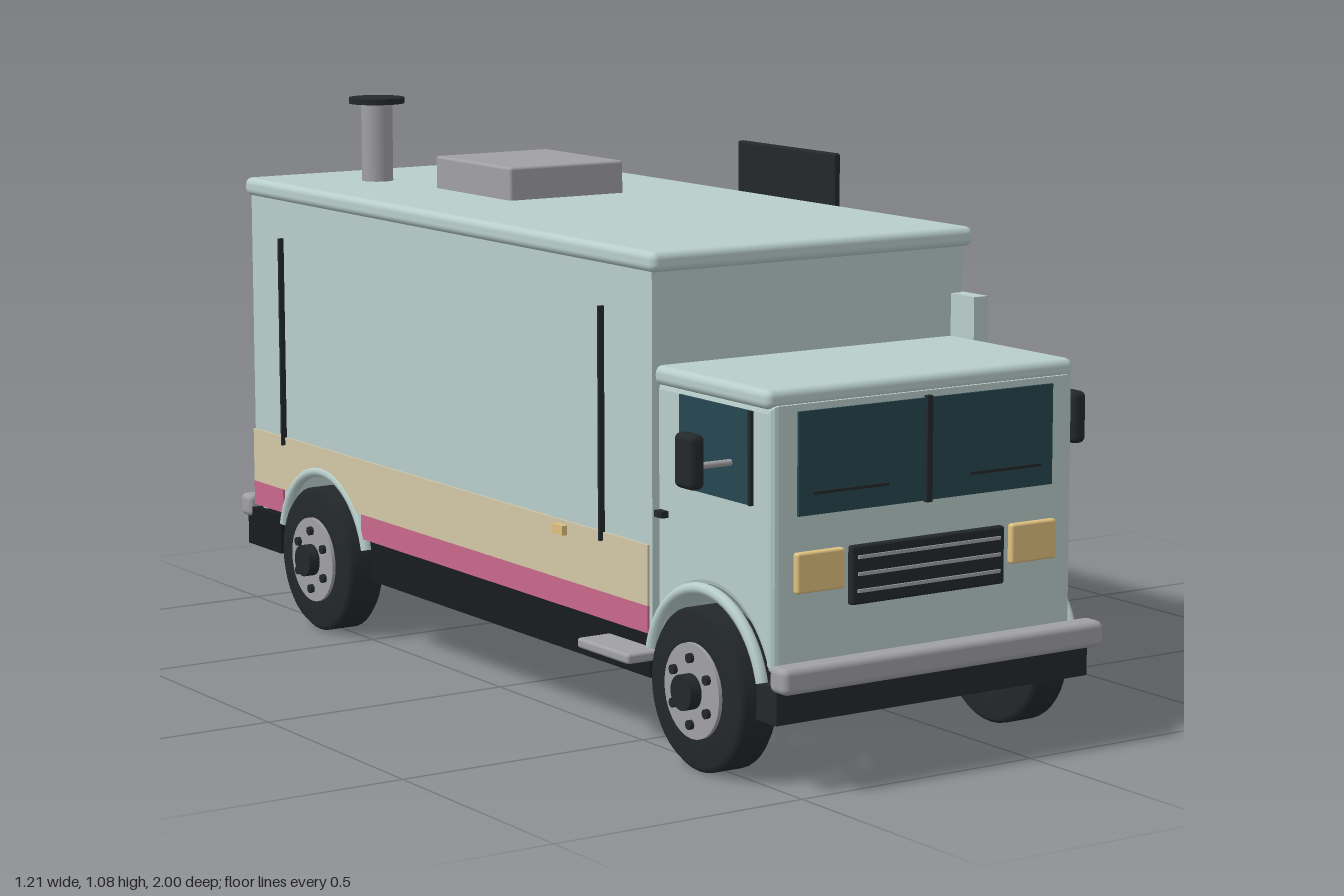
import * as THREE from 'three';
import { RoundedBoxGeometry } from 'three/addons/geometries/RoundedBoxGeometry.js';

const mat = (color) => new THREE.MeshStandardMaterial({ color });
const M = {
  body: mat(0xb8cecb), tan: mat(0xd3c8a8), pink: mat(0xc9688a), dark: mat(0x23282a), under: mat(0x191c1e),
  green: mat(0x2a3a35), glass: mat(0x264650), grey: mat(0xa0a0a5), lamp: mat(0xdfc07f),
};
const CX = -0.185; // centre line of the truck
const AXLE_Y = 0.147, FRONT_Z = 0.745, REAR_Z = -0.645, ARCH = 0.178;

export function createModel() {
  const root = new THREE.Group();

  const add = (name, geo, m, x = 0, y = 0, z = 0) => {
    const mesh = new THREE.Mesh(geo, m);
    mesh.name = name;
    mesh.position.set(x, y, z);
    root.add(mesh);
    return mesh;
  };
  // box from its limits, with an optional rounded edge
  const box = (name, m, x0, x1, y0, y1, z0, z1, r = 0) => {
    const s = [x1 - x0, y1 - y0, z1 - z0];
    const geo = r ? new RoundedBoxGeometry(...s, 3, r) : new THREE.BoxGeometry(...s);
    return add(name, geo, m, (x0 + x1) / 2, (y0 + y1) / 2, (z0 + z1) / 2);
  };
  // box given by distances from the centre line, on side s
  const sideBox = (name, m, s, d0, d1, ...rest) =>
    box(name, m, CX + Math.min(s * d0, s * d1), CX + Math.max(s * d0, s * d1), ...rest);
  const rod = (name, m, r, len, axis, x, y, z, seg = 24) => {
    const geo = new THREE.CylinderGeometry(r, r, len, seg);
    if (axis === 'x') geo.rotateZ(Math.PI / 2);
    return add(name, geo, m, x, y, z);
  };
  // side outline in (z, y) with a wheel arch cut from its lower edge
  const archShape = (z0, z1, y0, y1, c) => {
    const a = Math.asin((y0 - AXLE_Y) / ARCH);
    const s = new THREE.Shape();
    s.moveTo(z0, y0);
    s.lineTo(c - ARCH * Math.cos(a), y0);
    s.absarc(c, AXLE_Y, ARCH, Math.PI - a, a, true);
    s.lineTo(z1, y0);
    s.lineTo(z1, y1);
    s.lineTo(z0, y1);
    return s;
  };
  const hole = (shape, z0, z1, y0, y1) => shape.holes.push(new THREE.Path([
    new THREE.Vector2(z0, y0), new THREE.Vector2(z0, y1), new THREE.Vector2(z1, y1), new THREE.Vector2(z1, y0)]));
  // extrude a (z, y) outline towards -x from xOuter
  const slab = (name, m, shape, xOuter, depth, bevel = 0) => {
    const geo = new THREE.ExtrudeGeometry(shape, {
      depth: depth - 2 * bevel, curveSegments: 24, bevelEnabled: bevel > 0,
      bevelSize: bevel, bevelThickness: bevel, bevelOffset: -bevel, bevelSegments: 3 });
    geo.rotateY(-Math.PI / 2);
    return add(name, geo, m, xOuter - bevel, 0, 0);
  };

  // hollow kitchen body
  const serving = archShape(-0.935, 0.58, 0.22, 0.88, REAR_Z);
  hole(serving, -0.52, 0.345, 0.49, 0.78);
  hole(serving, -0.92, -0.83, 0.49, 0.78);
  slab('servingWall', M.body, serving, 0.16, 0.015);
  slab('farWall', M.body, archShape(-0.935, 0.58, 0.22, 0.88, REAR_Z), -0.515, 0.015);
  box('frontWall', M.body, -0.515, 0.145, 0.3, 0.88, 0.565, 0.58);
  box('rearWall', M.body, -0.515, 0.145, 0.2, 0.88, -0.935, -0.92);
  box('floor', M.body, -0.515, 0.145, 0.325, 0.34, -0.92, 0.565);
  box('bodyRoof', M.body, -0.545, 0.17, 0.868, 0.905, -0.94, 0.605, 0.014);
  box('hatchPanel', M.body, 0.135, 0.168, 0.46, 0.78, 0.42, 0.65);

  // kitchen interior
  box('interiorPanel', M.grey, -0.514, -0.505, 0.34, 0.86, -0.8, 0.55);
  box('innerCounter', M.grey, -0.3, 0.145, 0.465, 0.485, -0.55, 0.4);
  for (let i = 0; i < 5; i++)
    box('tray', M.grey, -0.12, 0.02, 0.485, 0.505, -0.44 + i * 0.115, -0.355 + i * 0.115, 0.006);

  // serving shelf, bottles and awning
  box('servingShelf', M.grey, 0.155, 0.32, 0.473, 0.489, -0.58, 0.25, 0.004);
  [[0.12, M.pink], [0.065, M.tan], [0.01, M.pink]].forEach(([z, m]) =>
    rod('bottle', m, 0.013, 0.068, 'y', 0.205, 0.522, z));
  const awning = box('awning', M.tan, 0.157, 0.403, 0.803, 0.817, -0.61, 0.25);
  awning.rotation.z = Math.atan2(0.045, 0.24);
  for (const z of [0.22, -0.575]) rod('awningStrut', M.grey, 0.004, 0.21, 'y', 0.315, 0.707, z, 8);
  box('awningSign', M.dark, 0.21, 0.226, 0.8, 0.997, -0.23, 0.105, 0.005);

  // cab
  slab('cab', M.body, archShape(0.565, 0.93, 0.205, 0.672, FRONT_Z), 0.145, 0.66, 0.014);
  box('cabRoof', M.body, -0.522, 0.15, 0.665, 0.7, 0.56, 0.925, 0.014);
  for (const s of [-1, 1]) {
    sideBox('windshield', M.glass, s, 0.006, 0.278, 0.478, 0.66, 0.92, 0.935);
    sideBox('wiper', M.dark, s, 0.09, 0.25, 0.514, 0.519, 0.934, 0.94);
    sideBox('headlight', M.lamp, s, 0.183, 0.285, 0.343, 0.415, 0.92, 0.942, 0.005);
    sideBox('cabWindow', M.glass, s, 0.32, 0.334, 0.493, 0.658, 0.65, 0.87);
    sideBox('cabWindowFrame', M.dark, s, 0.32, 0.337, 0.493, 0.658, 0.866, 0.874);
    sideBox('doorHandle', M.dark, s, 0.325, 0.345, 0.43, 0.442, 0.585, 0.61);
    rod('mirrorArm', M.grey, 0.006, 0.1, 'x', CX + s * 0.37, 0.56, 0.81, 10);
    sideBox('mirror', M.dark, s, 0.405, 0.437, 0.523, 0.62, 0.783, 0.84, 0.012);
  }
  box('windshieldDivider', M.dark, CX - 0.006, CX + 0.006, 0.475, 0.664, 0.92, 0.94);
  box('grille', M.dark, -0.354, -0.018, 0.31, 0.415, 0.92, 0.942, 0.005);
  for (let i = 0; i < 3; i++)
    box('grilleBar', M.grey, -0.342, -0.03, 0.332 + i * 0.03, 0.338 + i * 0.03, 0.94, 0.946);

  // stripes, seams, steps and marker lamps on both sides
  const gap = 0.165;
  for (const s of [-1, 1]) {
    slab('tanStripe', M.tan, archShape(-0.937, 0.57, 0.265, 0.376, REAR_Z), s > 0 ? 0.164 : -0.53, 0.004);
    sideBox('pinkStripe', M.pink, s, 0.335, 0.349, 0.215, 0.265, REAR_Z + gap, 0.57);
    sideBox('pinkStripe', M.pink, s, 0.335, 0.349, 0.215, 0.265, -0.937, REAR_Z - gap);
    for (const z of [0.42, -0.8]) sideBox('seam', M.dark, s, 0.342, 0.356, 0.36, 0.79, z - 0.003, z + 0.003);
    sideBox('markerLamp', M.lamp, s, 0.345, 0.36, 0.35, 0.368, 0.265, 0.3);
    sideBox('step', M.grey, s, 0.33, 0.405, 0.168, 0.187, 0.42, 0.59, 0.006);
  }

  // underbody, bumpers
  box('underbody', M.under, -0.525, 0.155, 0.13, 0.325, -0.46, 0.56).scale.x = 0.99;
  box('rearUnderbody', M.under, -0.53, 0.155, 0.125, 0.205, -0.975, -0.83);
  box('frontValance', M.dark, -0.53, 0.155, 0.125, 0.19, 0.905, 0.965);
  box('frontBumper', M.grey, -0.537, 0.167, 0.183, 0.23, 0.95, 1, 0.012);
  box('rearBumper', M.grey, -0.537, 0.167, 0.183, 0.23, -1, -0.955, 0.012);

  // wheels, axles and fenders
  for (const z of [FRONT_Z, REAR_Z]) {
    rod('axle', M.grey, 0.022, 0.6, 'x', CX, AXLE_Y, z);
    for (const s of [-1, 1]) {
      const at = (d) => CX + s * d;
      const r = AXLE_Y;
      const tyre = new THREE.LatheGeometry([[0.06, -0.04], [r - 0.01, -0.04], [r, -0.03], [r, 0.03],
        [r - 0.01, 0.04], [0.085, 0.04]].map((p) => new THREE.Vector2(...p)), 40);
      tyre.rotateZ(-s * Math.PI / 2);
      add('tyre', tyre, M.dark, at(0.325), AXLE_Y, z);
      rod('innerHub', M.dark, 0.1, 0.01, 'x', at(0.288), AXLE_Y, z);
      rod('rim', M.grey, 0.086, 0.07, 'x', at(0.337), AXLE_Y, z, 32);
      rod('hubCap', M.dark, 0.032, 0.03, 'x', at(0.38), AXLE_Y, z);
      for (let i = 0; i < 6; i++) {
        const a = (i + 0.5) * Math.PI / 3;
        rod('wheelNut', M.dark, 0.009, 0.012, 'x', at(0.374), AXLE_Y + 0.06 * Math.sin(a), z + 0.06 * Math.cos(a), 8);
      }
      const fender = new THREE.TorusGeometry(ARCH, 0.011, 8, 36, Math.PI * 0.84);
      fender.rotateZ(Math.PI * 0.08);
      fender.rotateY(Math.PI / 2);
      add('fender', fender, M.body, at(0.342), AXLE_Y, z);
    }
  }

  // rear door and tail lamps
  box('rearDoor', M.pink, -0.345, -0.025, 0.27, 0.825, -0.946, -0.93);
  box('rearHandle', M.dark, -0.068, -0.056, 0.5, 0.58, -0.96, -0.944);
  for (const y of [0.36, 0.72]) for (const x of [-0.345, -0.025])
    box('hinge', M.dark, x - 0.01, x + 0.01, y - 0.025, y + 0.025, -0.952, -0.93);
  for (const s of [-1, 1]) sideBox('tailLamp', M.pink, s, 0.24, 0.285, 0.25, 0.325, -0.948, -0.93, 0.004);

  // roof vent and chimney
  box('roofVent', M.grey, -0.32, -0.056, 0.9, 0.97, -0.535, -0.245, 0.006);
  for (let i = 0; i < 7; i++)
    box('ventSlot', M.dark, -0.06, -0.05, 0.922, 0.955, -0.5 + i * 0.032, -0.486 + i * 0.032);
  rod('chimney', M.grey, 0.032, 0.17, 'y', -0.345, 0.985, -0.73);
  rod('chimneyCap', M.dark, 0.057, 0.012, 'y', -0.345, 1.07, -0.73, 32);

  // free-standing menu board
  box('standingBoard', M.dark, 0.56, 0.585, 0.095, 0.45, -0.503, 0.035, 0.008);
  for (const z of [0.025, -0.485]) box('boardLeg', M.tan, 0.557, 0.587, 0, 0.142, z - 0.014, z + 0.014);
  const menuGeo = new THREE.PlaneGeometry(0.5, 0.385);
  menuGeo.rotateY(Math.PI / 2);
  add('menuPanel', menuGeo, M.green, 0.589, 0.283, 0.19);

  return root;
}
